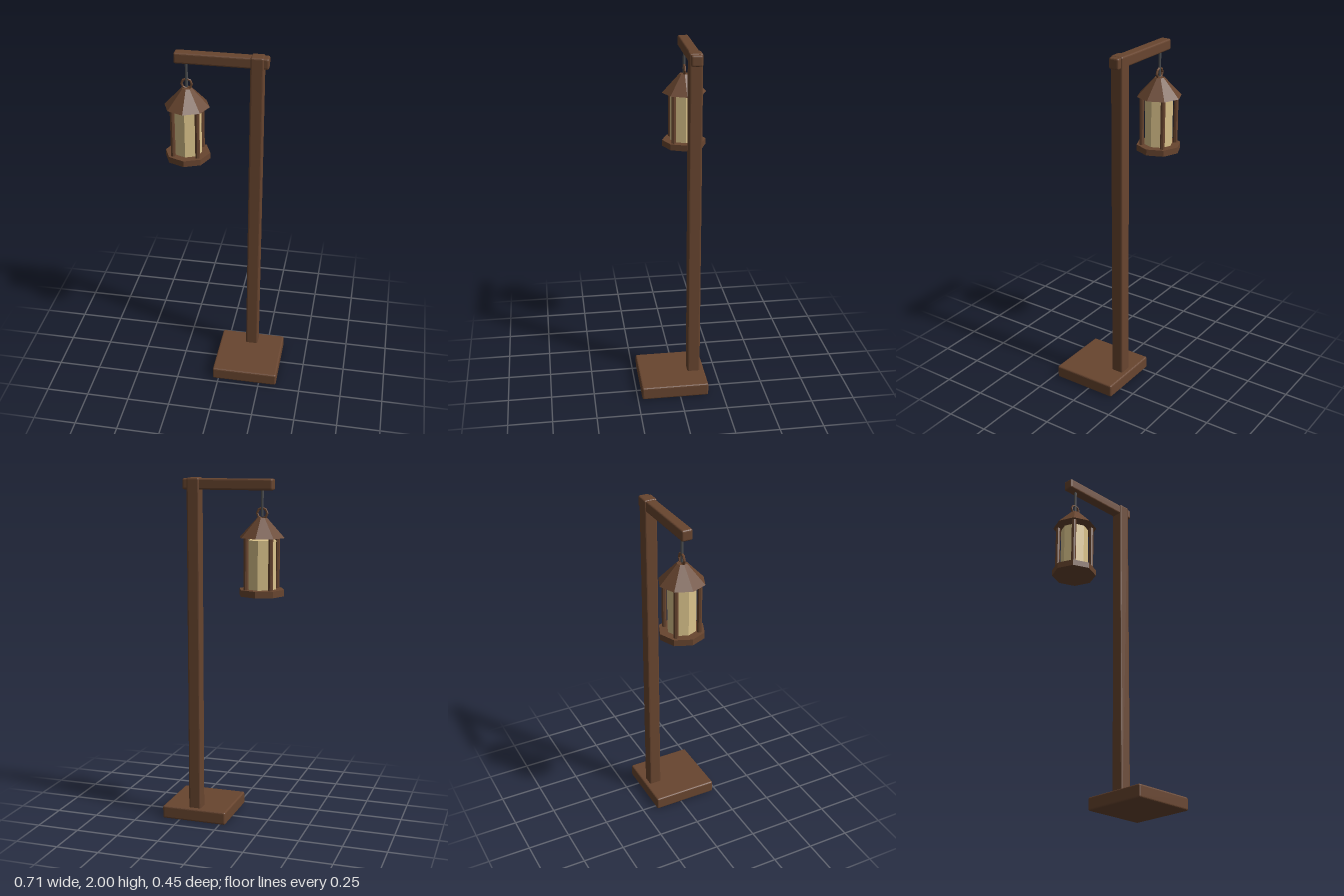
import * as THREE from 'three';
import { RoundedBoxGeometry } from 'three/addons/geometries/RoundedBoxGeometry.js';

export function createModel() {
  const model = new THREE.Group();
  model.name = 'lanternPost';

  const material = (name, color, flatShading = false) =>
    new THREE.MeshStandardMaterial({ name, color, flatShading });
  const wood = material('brown wood', 0x68452f);
  const facetedWood = wood;
  const glass = material('warm glass', 0xdcc48c, true);
  const iron = material('dark iron', 0x4a4c4e);
  wood.flatShading = true;

  const add = (parent, name, geometry, mat, x, y, z) => {
    const mesh = new THREE.Mesh(geometry, mat);
    mesh.name = name;
    mesh.position.set(x, y, z);
    parent.add(mesh);
    return mesh;
  };
  const block = (name, w, h, d, x, y, z) =>
    add(model, name, new RoundedBoxGeometry(w, h, d, 2, 0.01), wood, x, y, z);

  // Stand: square foot, upright post and the arm passing through its top
  block('base', 0.39, 0.076, 0.39, 0.16, 0.038, 0.03);
  block('post', 0.074, 1.95, 0.074, 0.162, 1.025, -0.101);
  block('arm', 0.52, 0.062, 0.062, -0.035, 1.965, -0.101);

  // Lantern hanging from the arm, eight-sided with corners on the axes
  const lantern = new THREE.Group();
  lantern.name = 'lantern';
  lantern.position.set(-0.23, 0, -0.1);
  model.add(lantern);

  add(lantern, 'hangingRod', new THREE.CylinderGeometry(0.008, 0.008, 0.15, 8), iron, 0, 1.867, 0);
  add(lantern, 'ring', new THREE.TorusGeometry(0.029, 0.007, 6, 8), facetedWood, 0, 1.81, 0);
  add(lantern, 'roof', new THREE.CylinderGeometry(0.028, 0.129, 0.108, 8), facetedWood, 0, 1.732, 0);
  add(lantern, 'floor', new THREE.CylinderGeometry(0.129, 0.129, 0.036, 8), facetedWood, 0, 1.376, 0);
  add(lantern, 'glassBody', new THREE.CylinderGeometry(0.081, 0.081, 0.275, 8), glass, 0, 1.5275, 0);

  // Four uprights at the diagonals
  for (const x of [-0.07, 0.07])
    for (const z of [-0.07, 0.07])
      add(lantern, 'upright', new THREE.CylinderGeometry(0.0135, 0.0135, 0.295, 8), facetedWood, x, 1.5375, z);

  return model;
}
